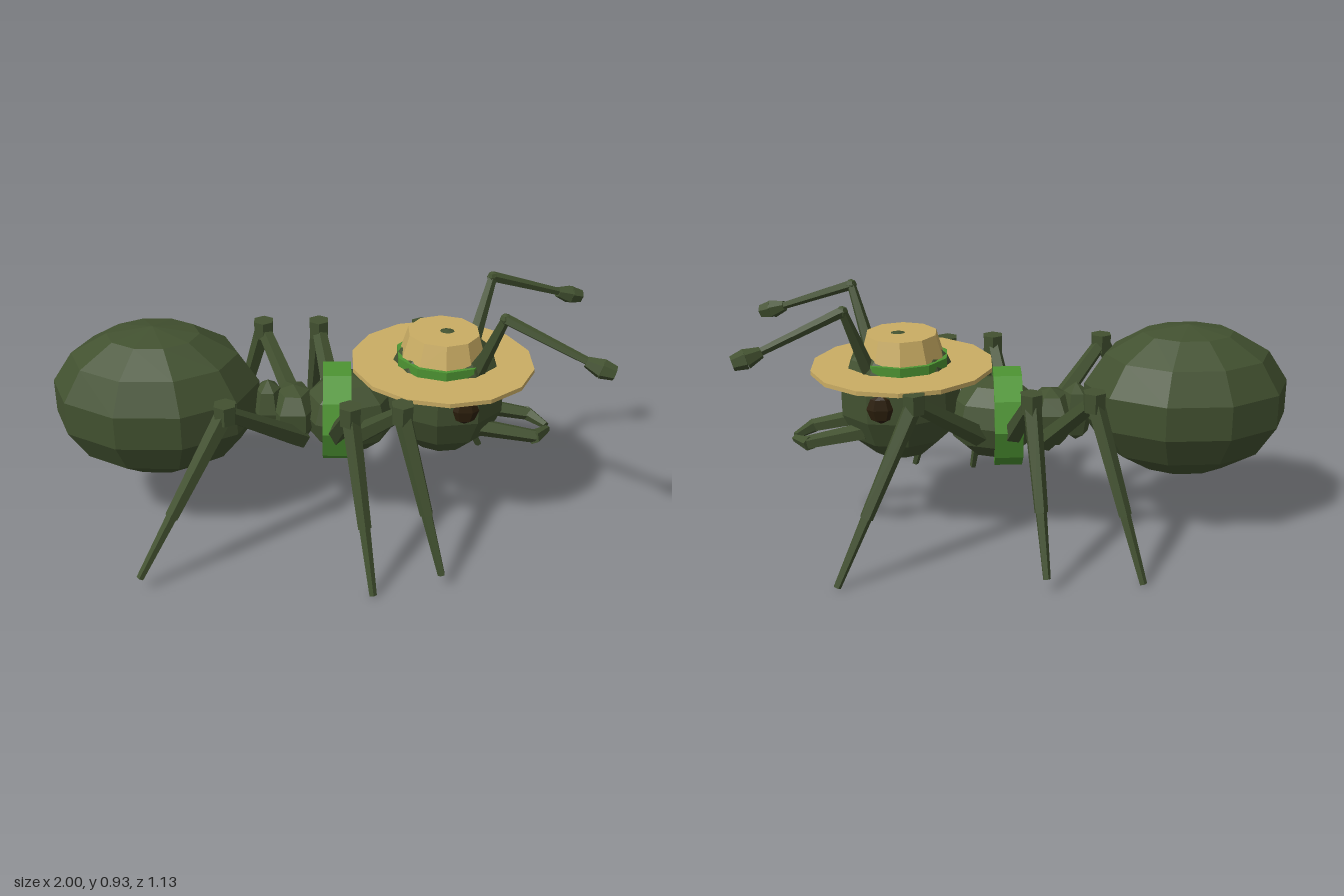
import * as THREE from 'three';

const flat = (name, color) => {
  const m = new THREE.MeshStandardMaterial({ color, flatShading: true });
  m.name = name;
  return m;
};

export function createModel() {
  const olive = flat('olive', 0x425130);
  const straw = flat('straw', 0xcaad64);
  const green = flat('green', 0x4d9432);
  const dark = flat('darkBrown', 0x2c1f0c);
  const model = new THREE.Group();
  model.name = 'ant';

  const add = (name, geometry, material, position = [0, 0, 0], parent = model) => {
    const mesh = new THREE.Mesh(geometry, material);
    mesh.name = name;
    mesh.position.set(...position);
    parent.add(mesh);
    return mesh;
  };
  const ellipsoid = (name, pos, radii, cols, rows, material = olive, parent = model) =>
    add(name, new THREE.SphereGeometry(1, cols, rows).scale(...radii), material, pos, parent);

  // Tapered rod from a to b
  const up = new THREE.Vector3(0, 1, 0);
  const rod = (name, a, b, r0, r1, parent, sides = 5) => {
    const from = new THREE.Vector3(...a), to = new THREE.Vector3(...b);
    const dir = to.clone().sub(from);
    const mid = from.clone().add(to).multiplyScalar(0.5);
    const mesh = add(name, new THREE.CylinderGeometry(r1, r0, dir.length(), sides), olive, mid.toArray(), parent);
    mesh.quaternion.setFromUnitVectors(up, dir.normalize());
    return mesh;
  };
  const lerp = (a, b, t) => a.map((v, i) => v + (b[i] - v) * t);

  // Body
  ellipsoid('abdomen', [-0.617, 0.515, 0], [0.392, 0.287, 0.305], 10, 7);
  ellipsoid('waistNode', [-0.205, 0.47, 0], [0.065, 0.115, 0.08], 6, 4);
  ellipsoid('rearThorax', [-0.11, 0.45, 0], [0.1, 0.115, 0.125], 6, 5);
  ellipsoid('thorax', [0.1, 0.455, 0], [0.18, 0.155, 0.16], 8, 6);
  ellipsoid('head', [0.45, 0.548, 0], [0.228, 0.245, 0.195], 9, 7);

  // Belt around the thorax
  const beltProfile = [[0.15, -0.052], [0.185, -0.052], [0.185, 0.052], [0.15, 0.052], [0.15, -0.052]]
    .map(([x, y]) => new THREE.Vector2(x, y));
  add('belt', new THREE.LatheGeometry(beltProfile, 10).rotateZ(Math.PI / 2), green, [0.052, 0.455, 0]);

  // Hat
  const hat = new THREE.Group();
  hat.name = 'hat';
  hat.position.set(0.437, 0, 0);
  model.add(hat);
  add('brim', new THREE.CylinderGeometry(0.336, 0.336, 0.016, 14), straw, [0, 0.662, 0], hat);
  add('hatBand', new THREE.CylinderGeometry(0.172, 0.172, 0.036, 10), green, [0, 0.685, 0], hat);
  add('crown', new THREE.CylinderGeometry(0.132, 0.157, 0.085, 10), straw, [0, 0.744, 0], hat);

  // Eyes, antennae and mandibles on both sides
  for (const s of [1, -1]) {
    const side = s > 0 ? 'right' : 'left';
    ellipsoid(side + 'Eye', [0.51, 0.553, s * 0.172], [0.052, 0.055, 0.026], 6, 4, dark);

    const antenna = new THREE.Group();
    antenna.name = side + 'Antenna';
    model.add(antenna);
    const elbow = [0.627, 0.92, s * 0.185], tip = [0.945, 0.795, s * 0.31];
    rod('antennaStalk', [0.545, 0.64, s * 0.09], elbow, 0.03, 0.017, antenna);
    rod('antennaArm', elbow, tip, 0.02, 0.014, antenna);
    ellipsoid('antennaElbow', elbow, [0.021, 0.021, 0.021], 5, 4, olive, antenna);
    rod('antennaTip', [0.895, 0.812, s * 0.292], [0.945, 0.795, s * 0.31], 0.02, 0.036, antenna, 6);
    rod('antennaTipEnd', [0.945, 0.795, s * 0.31], [0.99, 0.783, s * 0.322], 0.036, 0.026, antenna, 6);

    const jaw = new THREE.Group();
    jaw.name = side + 'Mandible';
    model.add(jaw);
    rod('mandibleBase', [0.58, 0.435, s * 0.085], [0.79, 0.395, s * 0.085], 0.034, 0.026, jaw);
    rod('mandibleTip', [0.78, 0.395, s * 0.095], [0.845, 0.385, s * 0.012], 0.028, 0.014, jaw);
  }

  // Legs: hip, knee, foot
  const legs = [
    ['rearRightLeg', [-0.08, 0.38, 0.08], [-0.335, 0.63, 0.335], [-0.645, 0.06, 0.515]],
    ['rearLeftLeg', [-0.08, 0.38, -0.08], [-0.235, 0.63, -0.34], [-0.4, 0.015, -0.52]],
    ['middleRightLeg', [0.045, 0.41, 0.12], [0.095, 0.63, 0.345], [0.18, 0.015, 0.55]],
    ['middleLeftLeg', [0.045, 0.41, -0.12], [-0.018, 0.63, -0.345], [-0.06, 0.06, -0.55]],
    ['frontRightLeg', [0.14, 0.42, 0.11], [0.275, 0.63, 0.33], [0.425, 0.06, 0.49]],
    ['frontLeftLeg', [0.16, 0.42, -0.11], [0.385, 0.63, -0.33], [0.665, 0.015, -0.49]],
  ];
  for (const [name, hip, knee, foot] of legs) {
    const leg = new THREE.Group();
    leg.name = name;
    model.add(leg);
    const ankle = lerp(knee, foot, 0.62);
    rod('thigh', hip, knee, 0.04, 0.028, leg);
    add('knee', new THREE.CylinderGeometry(0.042, 0.04, 0.07, 6), olive, [knee[0], 0.632, knee[2]], leg);
    rod('shin', knee, ankle, 0.034, 0.025, leg);
    rod('foot', lerp(knee, foot, 0.6), foot, 0.021, 0.014, leg);
  }
  return model;
}
